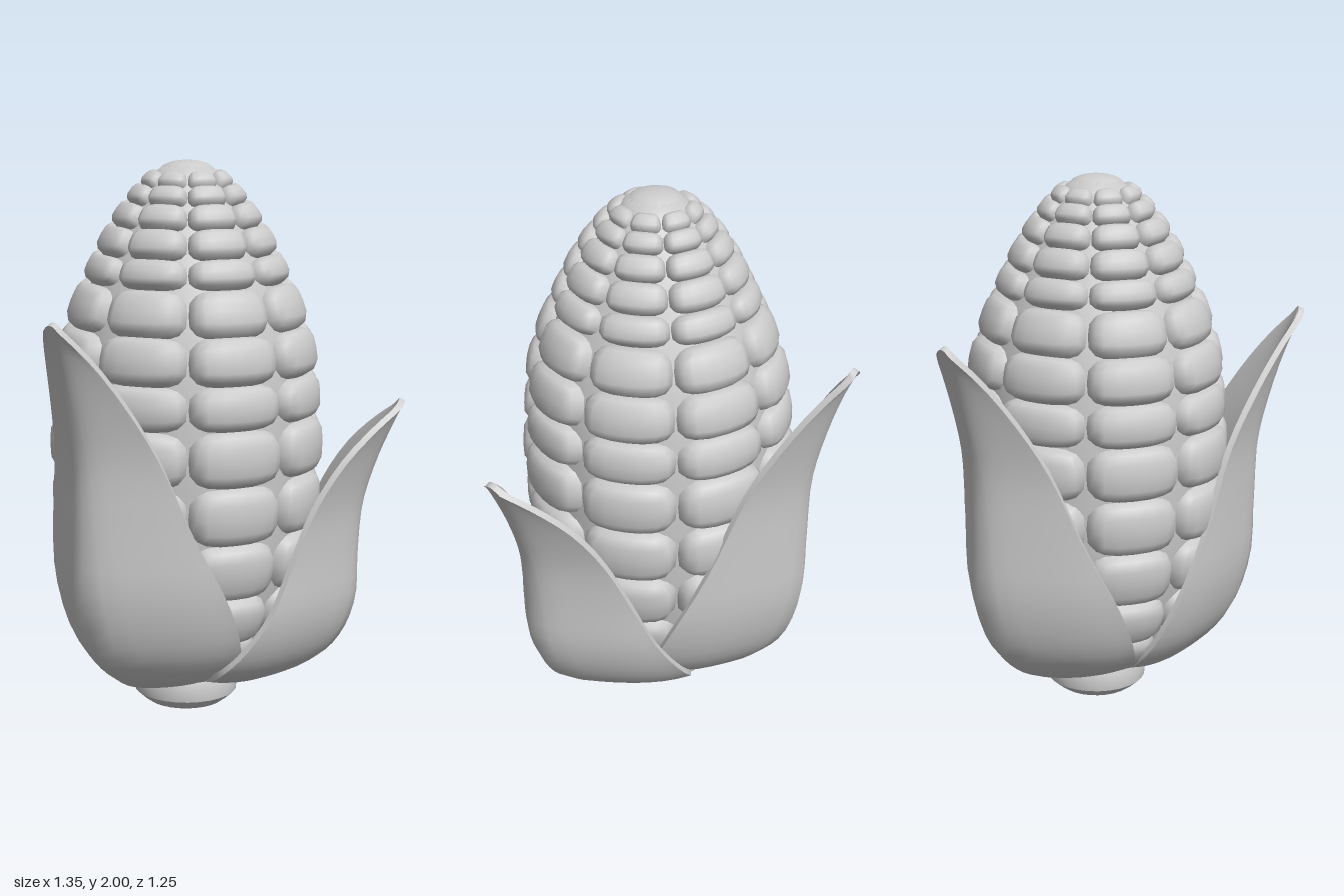
import * as THREE from 'three';
import { mergeVertices, toCreasedNormals } from 'three/addons/utils/BufferGeometryUtils.js';

const AXIS_X = 0.025, AXIS_Z = 0.11;
const material = new THREE.MeshStandardMaterial({ color: 0xcccccc });
const rad = THREE.MathUtils.degToRad;

// Outer envelope of the cob: [height, radius]
const ENVELOPE = [
  [0.1, 0.22], [0.2, 0.33], [0.3, 0.4], [0.48, 0.46], [0.7, 0.495], [1.0, 0.505], [1.2, 0.492],
  [1.35, 0.475], [1.5, 0.43], [1.63, 0.37], [1.73, 0.322], [1.82, 0.268], [1.9, 0.205], [1.95, 0.155], [1.98, 0.11],
];
const ROWS = [0.14, 0.3, 0.48, 0.69, 0.9, 1.1, 1.26, 1.43, 1.59, 1.69, 1.79, 1.87, 1.93, 1.975];
const COLUMNS = 8;

function envelope(y) {
  let i = 1;
  while (i < ENVELOPE.length - 1 && ENVELOPE[i][0] < y) i++;
  const [y0, r0] = ENVELOPE[i - 1], [y1, r1] = ENVELOPE[i];
  return r0 + (r1 - r0) * (y - y0) / (y1 - y0);
}

// Rounded block bent around the cob and tilted with its slope
function kernelGeometry(y0, y1, angle) {
  let g = new THREE.BoxGeometry(2, 2, 2, 6, 4, 4);
  g.deleteAttribute('normal');
  g.deleteAttribute('uv');
  g = mergeVertices(g);
  const pos = g.attributes.position, p = new THREE.Vector3();
  const mid = (y0 + y1) / 2, h = y1 - y0, R = envelope(mid);
  const slope = new THREE.Vector2(envelope(y1) - envelope(y0), h).normalize();
  const halfLength = h / 2 / slope.y * 1.03;
  const depth = Math.min(0.1, 0.035 + R * 0.14);
  const halfAngle = Math.PI / COLUMNS * 1.03;
  for (let i = 0; i < pos.count; i++) {
    p.fromBufferAttribute(pos, i);
    // superellipsoid rounding
    const n = (Math.abs(p.x) ** 3.4 + Math.abs(p.y) ** 3.4 + Math.abs(p.z) ** 2.6) ** (1 / 3.2);
    p.divideScalar(n);
    const along = p.y * halfLength, out = (p.z - 1) * depth;
    const r = Math.max(0.01, R + along * slope.x + out * slope.y);
    const a = angle + p.x * halfAngle;
    pos.setXYZ(i, r * Math.sin(a), mid + along * slope.y - out * slope.x, r * Math.cos(a));
  }
  g.computeVertexNormals();
  return g;
}

// Thin husk leaf from cross-sections; profile entries are [height, ridge radius, half angle in degrees]
function leafGeometry(angle, baseAngle, profile) {
  const curve = new THREE.CatmullRomCurve3(profile.map(([y, r, a]) => new THREE.Vector3(r, y, rad(a))), false, 'centripetal');
  const N = 16, M = 28, thick = 0.022, ring = 2 * (N + 1);
  const verts = [], index = [];
  for (let j = 0; j <= M; j++) {
    const v = j / M, c = curve.getPoint(v), t = curve.getTangent(v);
    const len = Math.hypot(t.x, t.y);
    const mid = rad(baseAngle + (angle - baseAngle) * v);
    for (let k = 0; k < ring; k++) {
      const inner = k > N;
      const u = (inner ? ring - 1 - k : k) / N * 2 - 1;
      const th = u * c.z;
      // folded ridge that flattens against the cob toward the edges
      const soft = Math.hypot(th, 0.1) - 0.1;
      let r = c.x * (1 - 0.21 * (1 - Math.exp(-soft / 0.3)));
      let y = c.y + 0.05 * u * u * (1 - v) ** 4 - 0.02 * u * u * v ** 6;
      if (inner) {
        r -= thick * t.y / len;
        y += thick * t.x / len;
      }
      verts.push(r * Math.sin(mid + th), y, r * Math.cos(mid + th));
    }
  }
  const quad = (a, b, c, d) => index.push(a, b, c, a, c, d);
  for (let j = 0; j < M; j++) {
    for (let k = 0; k < ring; k++) {
      const a = j * ring + k, b = j * ring + (k + 1) % ring;
      quad(a, b, b + ring, a + ring);
    }
  }
  // close the tip and the base
  const top = M * ring;
  for (let k = 0; k < N; k++) {
    quad(top + k, top + k + 1, top + ring - 2 - k, top + ring - 1 - k);
    quad(k + 1, k, ring - 1 - k, ring - 2 - k);
  }
  const g = new THREE.BufferGeometry();
  g.setAttribute('position', new THREE.Float32BufferAttribute(verts, 3));
  g.setIndex(index);
  return toCreasedNormals(g, rad(50));
}

const TALL_LEAF = [
  [0.09, 0.17, 60], [0.125, 0.32, 64], [0.19, 0.43, 67], [0.3, 0.53, 63], [0.5, 0.6, 53], [0.75, 0.61, 38],
  [1.0, 0.62, 26], [1.2, 0.665, 16], [1.38, 0.725, 7.5], [1.49, 0.775, 2.2],
];
const SHORT_LEAF = [
  [0.085, 0.19, 62], [0.12, 0.36, 65], [0.19, 0.5, 63], [0.28, 0.58, 56], [0.42, 0.63, 46], [0.6, 0.635, 36],
  [0.78, 0.65, 27], [0.95, 0.7, 18], [1.08, 0.755, 9], [1.155, 0.79, 3],
];

export function createModel() {
  const model = new THREE.Group();
  model.name = 'cornCob';
  const add = (name, geometry, parent = model) => {
    const mesh = new THREE.Mesh(geometry, material);
    mesh.name = name;
    parent.add(mesh);
    return mesh;
  };
  const body = new THREE.Group();
  body.name = 'body';
  body.position.set(AXIS_X, 0, AXIS_Z);
  model.add(body);

  // Core filling the gaps between kernels
  const core = ENVELOPE.map(([y, r]) => new THREE.Vector2(r - Math.min(0.055, r * 0.22), y));
  add('core', new THREE.LatheGeometry([new THREE.Vector2(0, 0.1), ...core, new THREE.Vector2(0, 1.98)], 32), body);

  // Kernels in columns
  const kernels = new THREE.Group();
  kernels.name = 'kernels';
  body.add(kernels);
  for (let c = 0; c < COLUMNS; c++) {
    const angle = rad(-5) + c / COLUMNS * Math.PI * 2;
    for (let i = 0; i < ROWS.length - 1; i++) add('kernel', kernelGeometry(ROWS[i], ROWS[i + 1], angle), kernels);
  }
  const cap = add('topKernel', new THREE.SphereGeometry(1, 20, 12), body);
  cap.scale.set(0.1, 0.04, 0.1);
  cap.position.y = 1.96;

  // Short stem
  const stem = [[0, 0], [0.145, 0], [0.165, 0.015], [0.192, 0.04], [0.197, 0.09], [0.18, 0.13], [0, 0.15]];
  const stemLathe = new THREE.LatheGeometry(stem.map(([r, y]) => new THREE.Vector2(r, y)), 28);
  add('stem', toCreasedNormals(stemLathe, rad(40)), body);

  // Husk leaves
  add('huskRight', leafGeometry(-63, -64, TALL_LEAF), body);
  add('huskLeft', leafGeometry(53, 53, SHORT_LEAF), body);
  add('huskBack', leafGeometry(160, 158, TALL_LEAF), body);
  return model;
}
